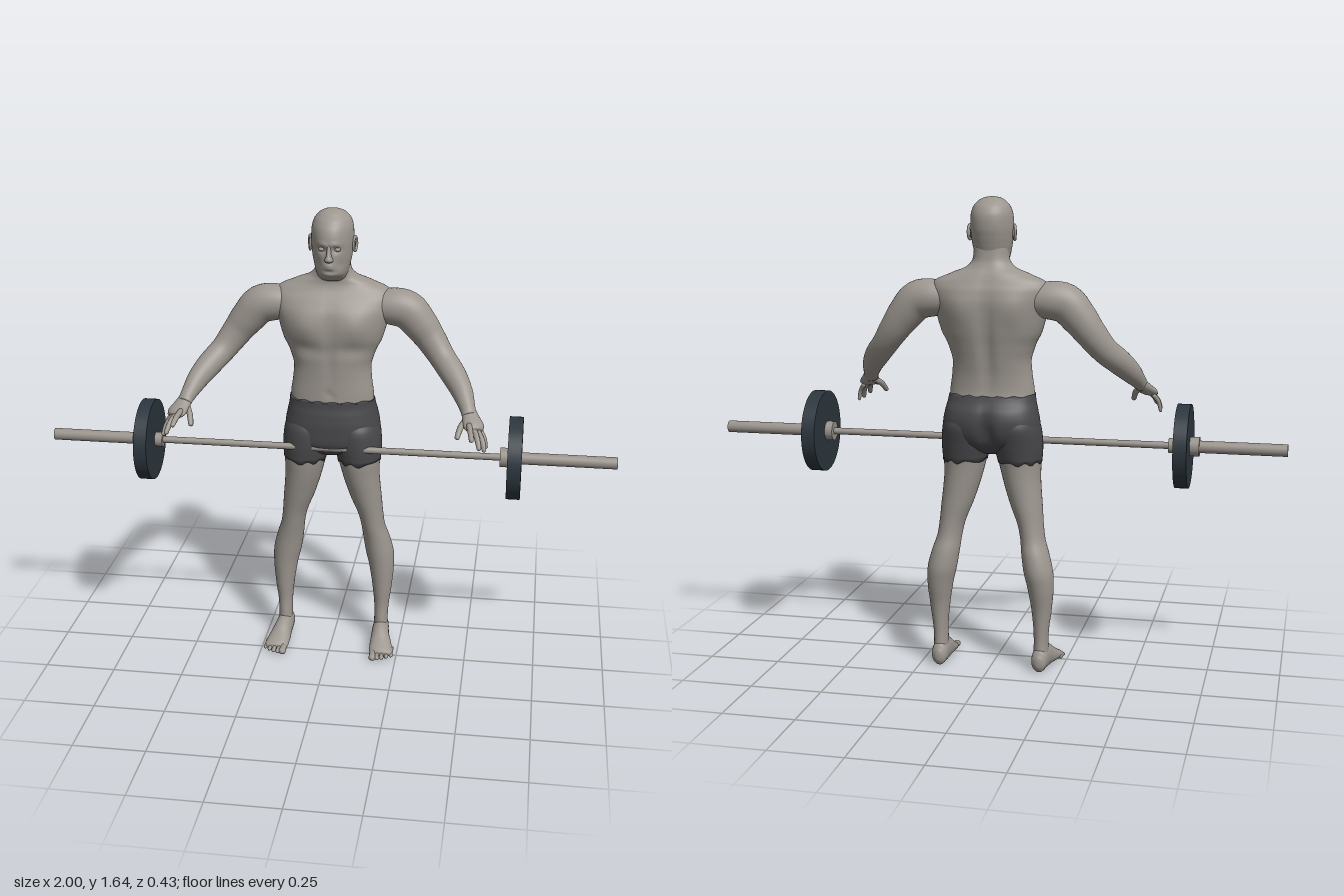
import * as THREE from 'three';
import { mergeGeometries } from 'three/addons/utils/BufferGeometryUtils.js';

const paint = (name, color) => {
  const m = new THREE.MeshStandardMaterial({ color });
  m.name = name;
  return m;
};
const bell = (v, centre, width) => Math.exp(-(((v - centre) / width) ** 2));

// Smooth closed loft through rows of [x, y, z, radiusU, radiusV].
// level: rings stay horizontal (rows must ascend), otherwise they follow the path.
function loft(rows, { level = false, seg = 24, steps = 4, power = 2, warp } = {}) {
  const path = new THREE.CatmullRomCurve3(rows.map(r => new THREE.Vector3(r[0], r[1], r[2])));
  const size = new THREE.CatmullRomCurve3(rows.map(r => new THREE.Vector3(r[3], r[4], 0)), false, 'catmullrom', 0.4);
  const rings = (rows.length - 1) * steps;
  const pos = [], index = [];
  const up = new THREE.Vector3(0, 1, 0);
  const round = v => Math.sign(v) * Math.abs(v) ** (2 / power);
  const push = p => { if (warp) warp(p); pos.push(p.x, p.y, p.z); };
  for (let i = 0; i <= rings; i++) {
    const c = path.getPoint(i / rings), s = size.getPoint(i / rings);
    const t = level ? up : path.getTangent(i / rings);
    const u = level ? new THREE.Vector3(1, 0, 0) : new THREE.Vector3().crossVectors(up, t).normalize();
    const v = new THREE.Vector3().crossVectors(t, u);
    for (let j = 0; j < seg; j++) {
      const a = (j / seg) * Math.PI * 2;
      push(c.clone().addScaledVector(u, round(Math.cos(a)) * s.x).addScaledVector(v, round(Math.sin(a)) * s.y));
    }
  }
  push(path.getPoint(0));
  push(path.getPoint(1));
  const first = (rings + 1) * seg, last = rings * seg;
  for (let j = 0; j < seg; j++) {
    const k = (j + 1) % seg;
    for (let i = 0; i < rings; i++) {
      const a = i * seg + j, b = i * seg + k;
      index.push(a, b, a + seg, b, b + seg, a + seg);
    }
    index.push(first, k, j, first + 1, last + j, last + k);
  }
  const g = new THREE.BufferGeometry();
  g.setAttribute('position', new THREE.Float32BufferAttribute(pos, 3));
  g.setIndex(index);
  g.computeVertexNormals();
  return g;
}

// Horizontal slice: height, half width, front z, back z, centre x
const slice = ([y, w, front, back, x = 0]) => [x, y, (front + back) / 2, w, (front - back) / 2];

function mirrored(g) {
  const m = g.clone().scale(-1, 1, 1), a = m.index.array;
  for (let i = 0; i < a.length; i += 3) [a[i], a[i + 1]] = [a[i + 1], a[i]];
  return m;
}

function ball(x, y, z, sx, sy, sz) {
  const g = new THREE.SphereGeometry(1, 16, 12).scale(sx, sy, sz).translate(x, y, z);
  g.deleteAttribute('uv');
  return g;
}

export function createModel() {
  const root = new THREE.Group();
  const skin = paint('skin', 0x9c968f), cloth = paint('shorts grey', 0x48474a);
  const steel = paint('bar steel', 0x98928b), rubber = paint('plate rubber', 0x2c363e);
  const add = (name, g, m) => {
    const mesh = new THREE.Mesh(g, m);
    mesh.name = name;
    root.add(mesh);
  };
  const pair = (name, g, m) => {
    add(name + 'Left', g, m);
    add(name + 'Right', mirrored(g), m);
  };

  // Torso and neck, with chest, spine and shoulder blade modelling
  add('torso', loft([
    [0.95, 0.148, -0.012, -0.18], [0.99, 0.146, -0.012, -0.175], [1.04, 0.139, -0.012, -0.178],
    [1.09, 0.136, -0.01, -0.187], [1.14, 0.15, -0.006, -0.197], [1.19, 0.174, 0, -0.207],
    [1.24, 0.188, 0, -0.213], [1.29, 0.2, -0.008, -0.216], [1.33, 0.205, -0.03, -0.21],
    [1.36, 0.19, -0.055, -0.198], [1.385, 0.135, -0.064, -0.187], [1.405, 0.085, -0.062, -0.175],
    [1.43, 0.063, -0.055, -0.165], [1.48, 0.058, -0.055, -0.16],
  ].map(slice), {
    level: true, seg: 64, power: 2.2, warp: p => {
      const x = Math.abs(p.x);
      if (p.z > -0.06) {
        p.z += 0.012 * bell(x, 0.085, 0.05) * bell(p.y, 1.25, 0.05);
        p.z -= 0.008 * bell(x, 0.08, 0.07) * bell(p.y, 1.165, 0.025);
        p.z -= 0.007 * bell(x, 0, 0.014) * bell(p.y, 1.17, 0.14);
        p.z -= 0.006 * bell(x, 0, 0.01) * bell(p.y, 1.0, 0.012);
      } else if (p.z < -0.14) {
        p.z += 0.015 * bell(x, 0, 0.022) * bell(p.y, 1.16, 0.17);
        p.z -= 0.01 * bell(x, 0.09, 0.045) * bell(p.y, 1.27, 0.06);
      }
    },
  }), skin);

  // Head: tapered towards the face, with sockets, brow, cheeks and lips
  add('head', loft([
    [1.395, 0.048, -0.06, -0.15], [1.415, 0.053, -0.022, -0.155], [1.43, 0.057, -0.003, -0.157],
    [1.455, 0.063, 0, -0.159], [1.48, 0.068, 0, -0.166], [1.505, 0.071, 0, -0.173],
    [1.53, 0.073, 0.002, -0.179], [1.555, 0.073, 0, -0.181], [1.58, 0.071, -0.008, -0.179],
    [1.605, 0.063, -0.026, -0.168], [1.625, 0.046, -0.05, -0.146], [1.635, 0.028, -0.068, -0.122],
    [1.64, 0.003, -0.093, -0.097],
  ].map(slice), {
    level: true, seg: 72, steps: 5, power: 2.15, warp: p => {
      const x = Math.abs(p.x);
      p.x *= 1 - 0.16 * THREE.MathUtils.smoothstep(p.z, -0.1, 0);
      if (p.z > -0.06) {
        p.z -= 0.011 * bell(x, 0.028, 0.015) * bell(p.y, 1.516, 0.011);
        p.z += 0.004 * bell(x, 0.025, 0.02) * bell(p.y, 1.534, 0.008);
        p.z += 0.005 * bell(x, 0, 0.018) * (bell(p.y, 1.463, 0.005) + bell(p.y, 1.453, 0.005));
        p.z -= 0.005 * bell(x, 0, 0.025) * bell(p.y, 1.441, 0.006);
        p.z -= 0.004 * bell(x, 0.045, 0.015) * bell(p.y, 1.465, 0.018);
      }
    },
  }), skin);
  add('nose', loft([
    [1.473, 0.006, 0.006, -0.015], [1.479, 0.015, 0.019, -0.015], [1.486, 0.014, 0.023, -0.015],
    [1.497, 0.009, 0.018, -0.015], [1.515, 0.007, 0.009, -0.015], [1.534, 0.006, 0.002, -0.015],
  ].map(slice), { level: true, seg: 20 }), skin);
  pair('eye', ball(0.027, 1.516, -0.017, 0.011, 0.008, 0.011), skin);
  const rim = new THREE.TorusGeometry(0.017, 0.005, 8, 20).scale(0.85, 1.35, 1)
    .rotateY(Math.PI / 2 - 0.3).translate(0.077, 1.52, -0.092);
  rim.deleteAttribute('uv');
  pair('ear', mergeGeometries([rim, ball(0.072, 1.518, -0.09, 0.006, 0.021, 0.014)]), skin);

  // Arms
  pair('arm', loft([
    [0.13, 1.295, -0.12, 0.055, 0.05], [0.2, 1.298, -0.12, 0.064, 0.064], [0.255, 1.288, -0.117, 0.063, 0.067],
    [0.3, 1.242, -0.115, 0.058, 0.061], [0.34, 1.19, -0.11, 0.05, 0.053], [0.385, 1.13, -0.085, 0.044, 0.046],
    [0.425, 1.088, -0.04, 0.043, 0.044], [0.46, 1.045, 0.012, 0.036, 0.038],
    [0.485, 1.0, 0.07, 0.026, 0.025], [0.492, 0.985, 0.088, 0.026, 0.02],
  ], { seg: 32 }), skin);

  // Hands: palm plus five bent fingers, each from knuckle through joint to tip
  const finger = (a, b, c, r) => loft([[...a, r, r], [...b, r * 0.95, r * 0.95], [...c, r * 0.75, r * 0.7],
    [...c.map((v, i) => v + (v - b[i]) * 0.12), 0.002, 0.002]], { seg: 12 });
  pair('hand', mergeGeometries([
    loft([[0.487, 0.998, 0.07, 0.024, 0.02], [0.498, 0.978, 0.098, 0.031, 0.019],
      [0.51, 0.962, 0.128, 0.036, 0.016], [0.518, 0.953, 0.142, 0.028, 0.011]], { seg: 20 }),
    finger([0.493, 0.97, 0.135], [0.5, 0.96, 0.175], [0.506, 0.942, 0.21], 0.01),
    finger([0.508, 0.96, 0.135], [0.523, 0.938, 0.175], [0.532, 0.91, 0.2], 0.01),
    finger([0.52, 0.953, 0.128], [0.54, 0.925, 0.158], [0.548, 0.895, 0.175], 0.0095),
    finger([0.527, 0.952, 0.113], [0.545, 0.925, 0.128], [0.553, 0.892, 0.132], 0.008),
    finger([0.485, 0.978, 0.09], [0.465, 0.957, 0.125], [0.455, 0.928, 0.155], 0.011),
  ]), skin);

  // Legs: one set of slices serves the skin and the legs of the shorts
  const leg = [
    [0.04, 0.026, -0.082, -0.162, 0.18], [0.1, 0.025, -0.086, -0.158, 0.18], [0.15, 0.027, -0.09, -0.16, 0.181],
    [0.22, 0.035, -0.085, -0.167, 0.182], [0.3, 0.045, -0.08, -0.184, 0.179], [0.36, 0.051, -0.075, -0.193, 0.171],
    [0.42, 0.048, -0.069, -0.186, 0.159], [0.47, 0.043, -0.061, -0.172, 0.148], [0.52, 0.045, -0.053, -0.167, 0.139],
    [0.6, 0.057, -0.035, -0.168, 0.12], [0.68, 0.066, -0.018, -0.17, 0.104], [0.74, 0.074, -0.008, -0.174, 0.097],
    [0.8, 0.082, -0.003, -0.187, 0.092], [0.86, 0.08, -0.006, -0.2, 0.088], [0.9, 0.068, -0.03, -0.19, 0.085],
  ];
  pair('leg', loft(leg.slice(0, 13).map(slice), { level: true, seg: 36 }), skin);
  pair('shortsLeg', loft(leg.slice(11).map(([y, w, f, b, x]) => slice([y, w + 0.003, f + 0.003, b - 0.003, x])), {
    level: true, seg: 48, warp: p => {
      if (p.y < 0.742) p.y += 0.006 * Math.sin(p.x * 110 + p.z * 75);
    },
  }), cloth);

  // Seat of the shorts with a cleft at the back
  add('shortsSeat', loft([
    [0.765, 0.05, -0.04, -0.13], [0.785, 0.12, -0.015, -0.165], [0.815, 0.167, 0, -0.194],
    [0.85, 0.17, 0.002, -0.21], [0.885, 0.167, 0.002, -0.215], [0.92, 0.16, -0.002, -0.208],
    [0.95, 0.153, -0.008, -0.188], [0.972, 0.15, -0.009, -0.179],
  ].map(slice), {
    level: true, seg: 64, power: 2.3, warp: p => {
      if (p.z < -0.12) p.z += 0.026 * bell(p.x, 0, 0.02) * bell(p.y, 0.85, 0.065);
      if (p.y > 0.968) p.y += 0.003 * Math.sin(p.x * 120);
    },
  }), cloth);

  // Feet with five toes, flat underneath
  const flat = p => { p.y = Math.max(p.y, 0); };
  const toes = [0, 1, 2, 3, 4].map(i => {
    const x = 0.166 + i * 0.0165, r = i ? 0.009 - i * 0.0005 : 0.013, tip = 0.06 - i * i * 0.0018;
    return loft([[x, 0.016, tip - 0.055, r, r], [x, 0.014, tip - 0.025, r * 0.9, r * 0.9],
      [x + 0.001, 0.011, tip - 0.008, r, r * 0.9], [x + 0.001, 0.01, tip, 0.003, 0.003]], { seg: 12, warp: flat });
  });
  pair('foot', mergeGeometries([
    loft([
      [0.179, 0.04, -0.174, 0.01, 0.016], [0.179, 0.04, -0.16, 0.026, 0.038], [0.18, 0.045, -0.12, 0.03, 0.046],
      [0.183, 0.04, -0.075, 0.033, 0.043], [0.189, 0.027, -0.03, 0.04, 0.029],
      [0.195, 0.017, 0.01, 0.043, 0.018], [0.196, 0.014, 0.028, 0.034, 0.01],
    ], { seg: 28, warp: flat }), ...toes,
  ]), skin);

  // Barbell
  const rod = (name, x0, x1, r, m, seg = 24) => add(name,
    new THREE.CylinderGeometry(r, r, x1 - x0, seg).rotateZ(Math.PI / 2).translate((x0 + x1) / 2, 0.8, -0.018), m);
  rod('barShaft', -0.64, 0.64, 0.012, steel);
  rod('sleeveLeft', 0.62, 1, 0.021, steel);
  rod('sleeveRight', -1, -0.62, 0.021, steel);
  rod('plateLeft', 0.625, 0.673, 0.144, rubber, 64);
  rod('plateRight', -0.673, -0.627, 0.144, rubber, 64);
  rod('collarLeft', 0.598, 0.626, 0.034, steel);
  rod('collarRight', -0.705, -0.672, 0.033, steel);
  rod('innerCollarRight', -0.63, -0.6, 0.026, steel);
  return root;
}
